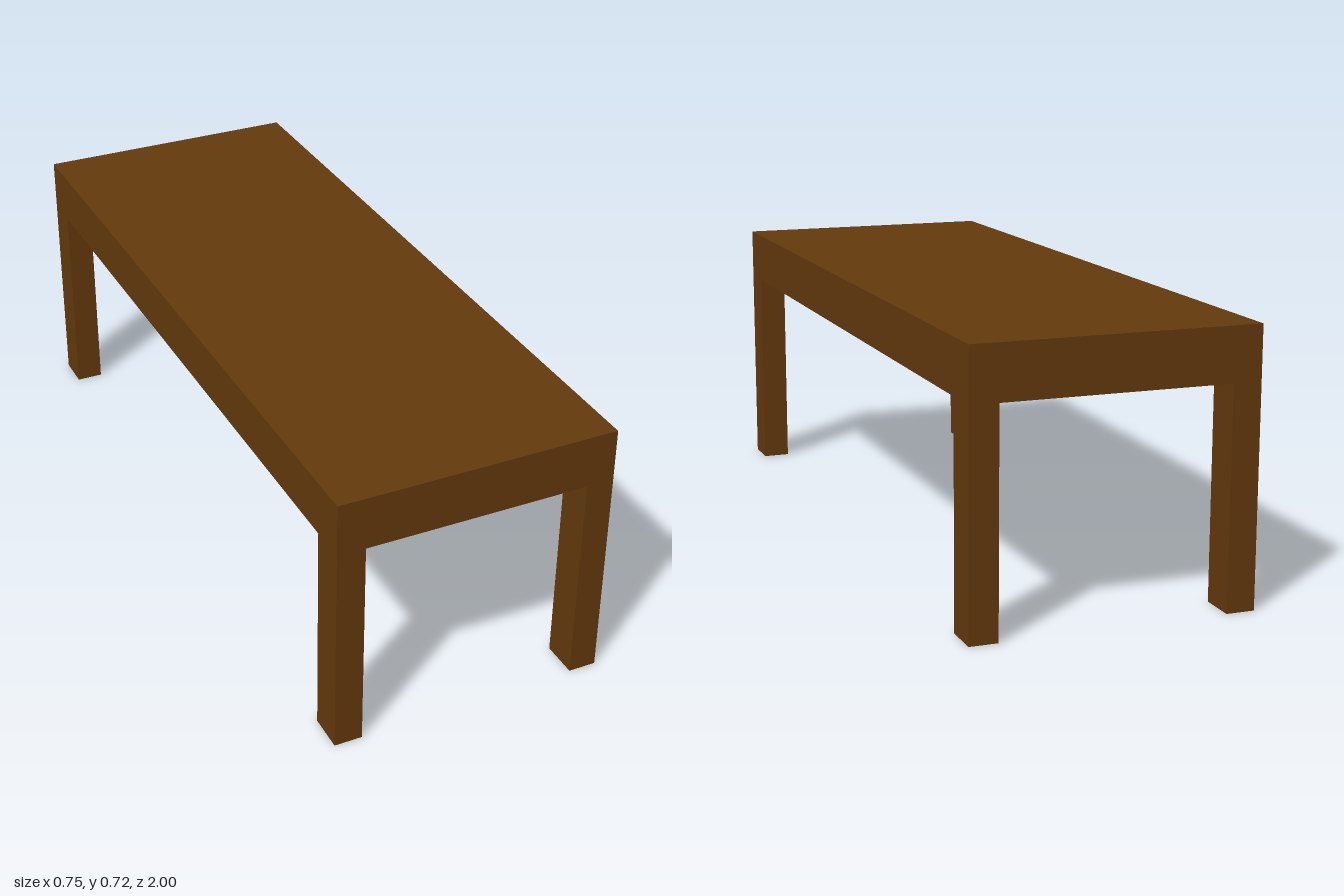
import * as THREE from 'three';

const WIDTH = 0.748, LENGTH = 2, HEIGHT = 0.718;
const LEG_HEIGHT = 0.577, LEG_X = 0.075, LEG_Z = 0.1;

// Hollow square leg: a box without its top and bottom faces
function legGeometry() {
  const geometry = new THREE.BoxGeometry(LEG_X, LEG_HEIGHT, LEG_Z);
  const index = Array.from(geometry.index.array);
  geometry.setIndex([...index.slice(0, 12), ...index.slice(24)]);
  geometry.clearGroups();
  return geometry;
}

export function createModel() {
  const model = new THREE.Group();
  model.name = 'table';
  const wood = new THREE.MeshStandardMaterial({ color: 0x653a0d, side: THREE.DoubleSide });
  wood.name = 'brown wood';

  // Thick tabletop slab
  const thickness = HEIGHT - LEG_HEIGHT;
  const top = new THREE.Mesh(new THREE.BoxGeometry(WIDTH, thickness, LENGTH), wood);
  top.name = 'tabletop';
  top.position.y = LEG_HEIGHT + thickness / 2;
  model.add(top);

  // Four legs, flush with the corners
  const geometry = legGeometry();
  for (const sx of [-1, 1]) {
    for (const sz of [-1, 1]) {
      const leg = new THREE.Mesh(geometry, wood);
      leg.name = (sz > 0 ? 'front' : 'back') + (sx > 0 ? 'Left' : 'Right') + 'Leg';
      leg.position.set(sx * (WIDTH - LEG_X) / 2, LEG_HEIGHT / 2, sz * (LENGTH - LEG_Z) / 2);
      model.add(leg);
    }
  }
  return model;
}
